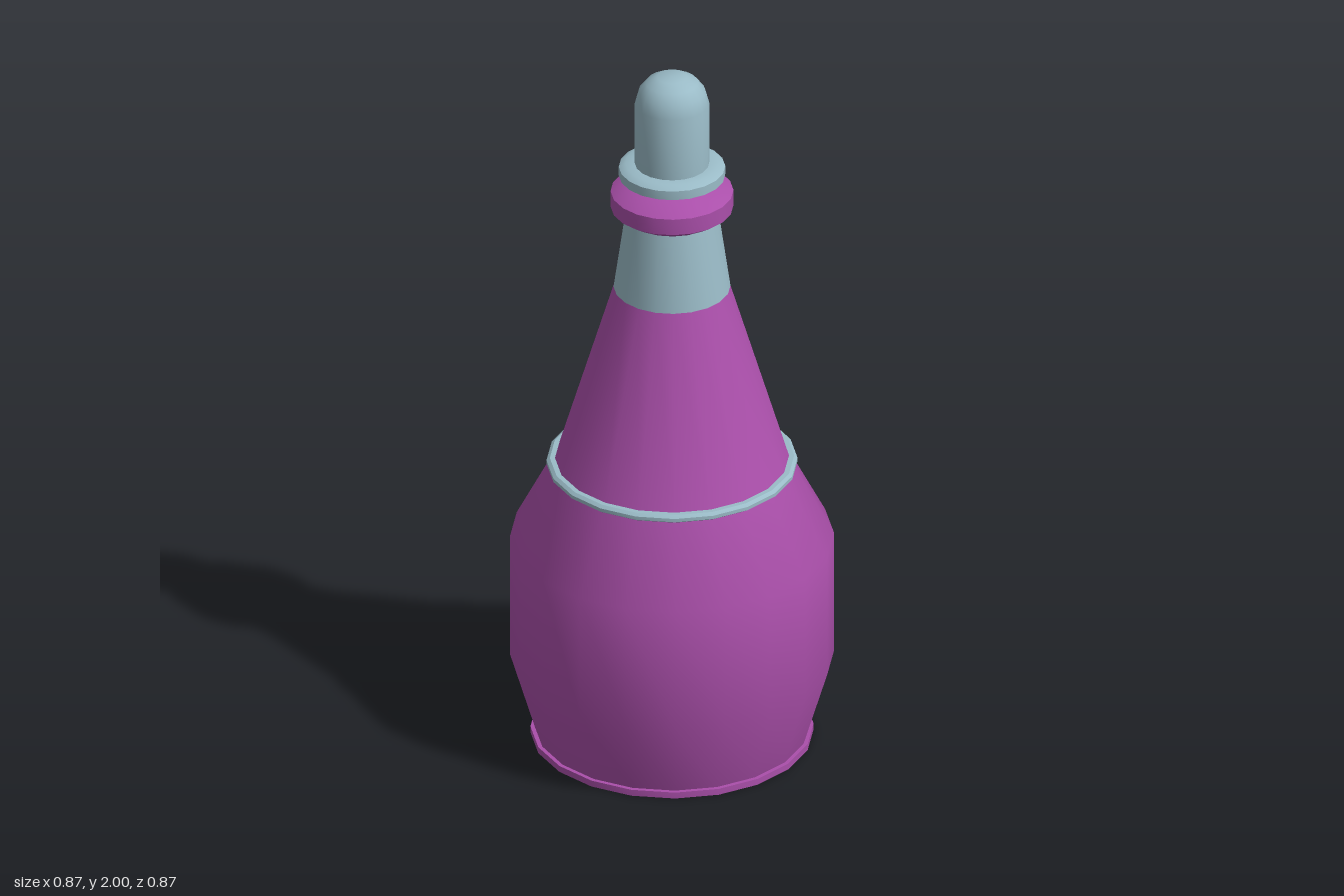
import * as THREE from 'three';
import { toCreasedNormals } from 'three/addons/utils/BufferGeometryUtils.js';

const SIDES = 20;
const purple = new THREE.MeshStandardMaterial({ color: 0xaa4faa });
const paleBlue = new THREE.MeshStandardMaterial({ color: 0x9abbc7 });

// Turned part from [radius, height] pairs, listed from bottom to top
function turned(name, material, profile) {
  const points = profile.map(([r, y]) => new THREE.Vector2(r, y));
  const geometry = toCreasedNormals(new THREE.LatheGeometry(points, SIDES), 0.62);
  const mesh = new THREE.Mesh(geometry, material);
  mesh.name = name;
  return mesh;
}

export function createModel() {
  const bottle = new THREE.Group();
  bottle.name = 'bottle';

  bottle.add(
    // Thin foot under the body
    turned('foot', purple, [[0, 0], [0.38, 0], [0.38, 0.018], [0.36, 0.018]]),
    // Belly and sloping shoulder
    turned('body', purple, [
      [0.368, 0.016], [0.435, 0.24], [0.435, 0.6], [0.318, 0.825], [0.157, 1.36],
    ]),
    // Thin band around the shoulder
    turned('shoulderBand', paleBlue, [
      [0.315, 0.815], [0.328, 0.815], [0.337, 0.821], [0.337, 0.831],
      [0.328, 0.838], [0.312, 0.838],
    ]),
    turned('neck', paleBlue, [[0.157, 1.36], [0.123, 1.6]]),
    // Bevelled collar at the mouth
    turned('collar', purple, [
      [0.1, 1.582], [0.13, 1.582], [0.165, 1.605], [0.165, 1.652],
      [0.115, 1.683], [0, 1.683],
    ]),
    // Stopper: flange and rounded cap
    turned('stopperFlange', paleBlue, [
      [0, 1.68], [0.105, 1.68], [0.115, 1.69], [0.143, 1.7], [0.143, 1.726],
      [0.125, 1.737], [0.09, 1.737],
    ]),
    turned('stopperCap', paleBlue, [
      [0.1, 1.735], [0.1, 1.92], [0.09, 1.957], [0.07, 1.983], [0.04, 2], [0, 2],
    ]),
  );
  return bottle;
}
